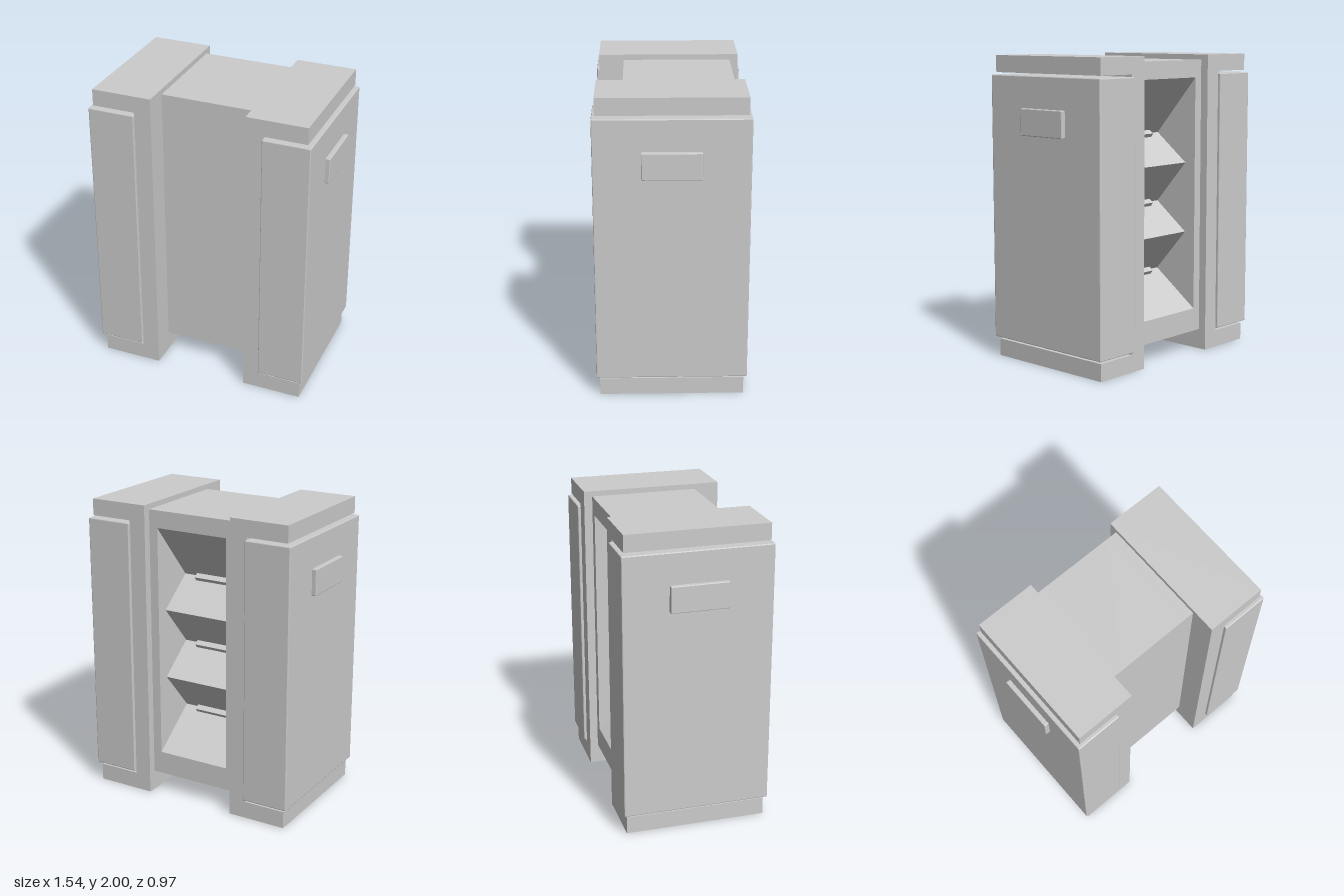
import * as THREE from 'three';
import { RoundedBoxGeometry } from 'three/addons/geometries/RoundedBoxGeometry.js';

const material = new THREE.MeshStandardMaterial({ color: 0xcccccc, flatShading: true });

function add(parent, name, geometry, x = 0, y = 0, z = 0) {
  const mesh = new THREE.Mesh(geometry, material);
  mesh.name = name;
  mesh.position.set(x, y, z);
  parent.add(mesh);
  return mesh;
}

const shapeOf = (points) => new THREE.Shape(points.map(([a, b]) => new THREE.Vector2(a, b)));

// Extrudes a [z, y] outline across x, centred on x = 0
function extrudeAcross(points, width) {
  const geometry = new THREE.ExtrudeGeometry(shapeOf(points), { depth: width, bevelEnabled: false });
  return geometry.translate(0, 0, -width / 2).rotateY(-Math.PI / 2);
}

// Box given by its limits, with a fine chamfer
function chamferBox(parent, name, [x0, x1], [y0, y1], [z0, z1], radius) {
  const geometry = new RoundedBoxGeometry(x1 - x0, y1 - y0, z1 - z0, 1, radius);
  return add(parent, name, geometry, (x0 + x1) / 2, (y0 + y1) / 2, (z0 + z1) / 2);
}

export function createModel() {
  const model = new THREE.Group();
  model.name = 'cabinet';

  const bottom = 0.135, top = 1.965, front = 0.3, back = -0.41;
  const inner = 0.255, outer = 0.315, valley = -0.084, tip = -0.33;
  const valleys = [1.47, 1.0, 0.53];

  // Central body, with sloping bins cut into the back
  const profile = [
    [front, bottom], [front, top], [back, top], [back, 1.85],
    [valley, valleys[0]], [tip, 1.28],
    [valley, valleys[1]], [tip, 0.81],
    [valley, valleys[2]], [back, 0.29], [back, bottom],
  ];
  add(model, 'binBody', extrudeAcross(profile, inner * 2));

  // Small tab at the head of each sloping bin
  const slope = Math.atan(0.76);
  const out = [-Math.cos(slope), -Math.sin(slope)];
  const up = [-Math.sin(slope), Math.cos(slope)];
  valleys.forEach((y, i) => {
    const corner = (along, height) => [
      valley + out[0] * along + up[0] * height,
      y + out[1] * along + up[1] * height,
    ];
    const outline = [corner(-0.01, -0.01), corner(0.04, -0.01), corner(0.04, 0.03), corner(-0.01, 0.03)];
    add(model, `binTab${i + 1}`, extrudeAcross(outline, 0.3));
  });

  for (const side of [-1, 1]) {
    const span = (a, b) => (side > 0 ? [a, b] : [-b, -a]);
    const label = side > 0 ? 'left' : 'right';

    // Cheek closing the bins at the side
    add(model, `${label}Cheek`, new THREE.BoxGeometry(outer - inner, top - bottom, front - back),
      side * (inner + outer) / 2, (bottom + top) / 2, (front + back) / 2);

    // C-shaped column
    const outline = [
      [outer, 0], [0.715, 0], [0.715, 0.115], [0.43, 0.115],
      [0.43, 1.89], [0.715, 1.89], [0.715, 2], [outer, 2],
    ].map(([x, y]) => [side * x, y]);
    const column = new THREE.ExtrudeGeometry(shapeOf(outline), { depth: 0.93, bevelEnabled: false });
    add(model, `${label}Column`, column, 0, 0, -0.465);

    // Side cover held in the column, and its grip plate
    chamferBox(model, `${label}Cover`, span(0.427, 0.74), [0.133, 1.875], [-0.485, 0.485], 0.006);
    chamferBox(model, `${label}Grip`, span(0.72, 0.77), [1.497, 1.67], [-0.187, 0.187], 0.005);
  }
  return model;
}
